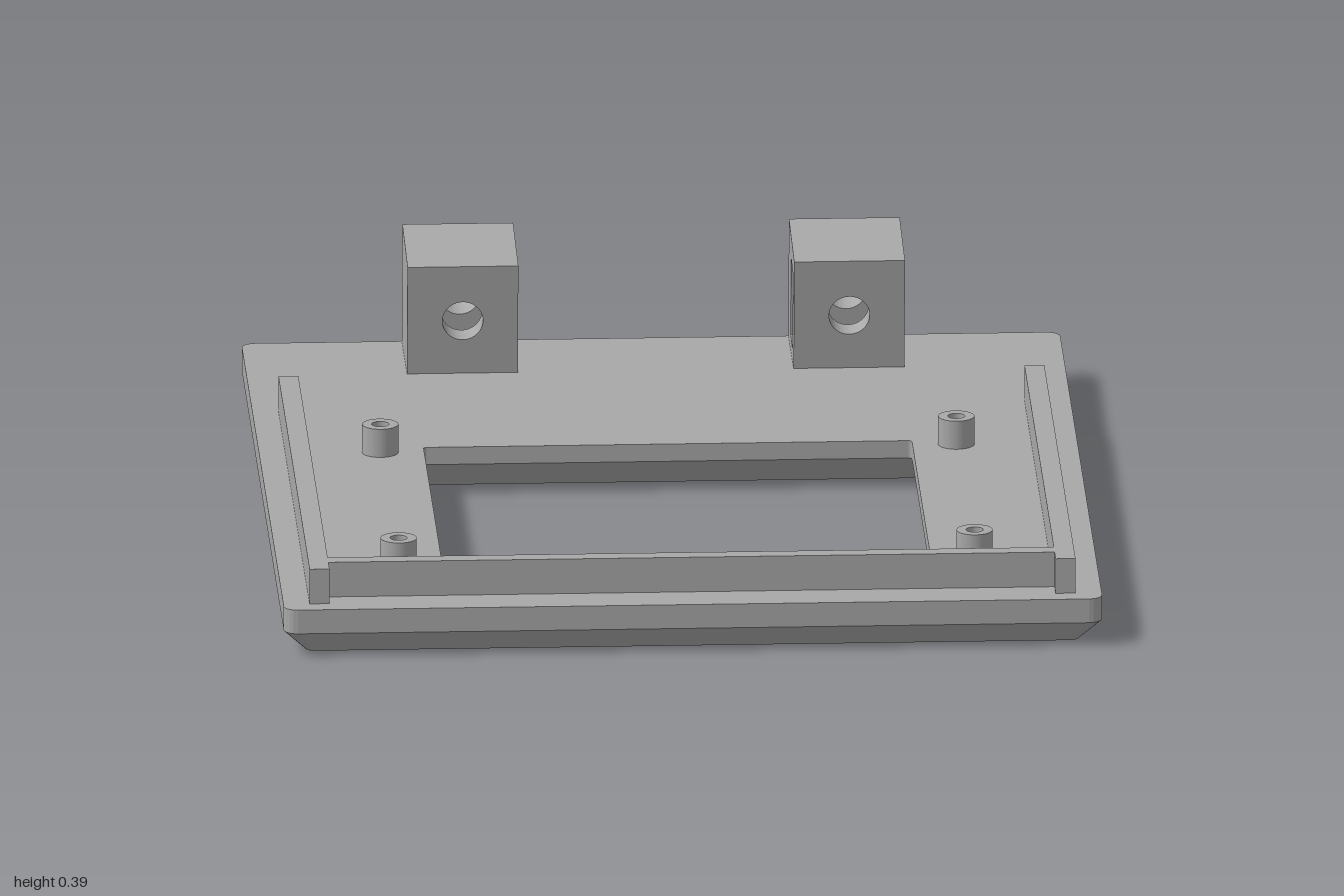
import * as THREE from 'three';
import { mergeGeometries } from 'three/addons/utils/BufferGeometryUtils.js';

const grey = new THREE.MeshStandardMaterial({ color: 0xa8a8a8 });
grey.name = 'grey plastic';

function add(parent, name, geometry) {
  const mesh = new THREE.Mesh(geometry, grey);
  mesh.name = name;
  parent.add(mesh);
  return mesh;
}

function box(parent, name, x0, x1, y0, y1, z0, z1) {
  const mesh = add(parent, name, new THREE.BoxGeometry(x1 - x0, y1 - y0, z1 - z0));
  mesh.position.set((x0 + x1) / 2, (y0 + y1) / 2, (z0 + z1) / 2);
}

// Rounded rectangle as [x, z] points, counter-clockwise seen from above
function loop(x0, x1, z0, z1, r) {
  const pts = [];
  const centres = [[x1 - r, z0 + r], [x0 + r, z0 + r], [x0 + r, z1 - r], [x1 - r, z1 - r]];
  centres.forEach(([cx, cz], q) => {
    for (let i = 0; i <= 5; i++) {
      const a = (q + i / 5) * Math.PI / 2;
      pts.push([cx + r * Math.cos(a), cz - r * Math.sin(a)]);
    }
  });
  return pts;
}

// Wall between two matching loops; inward walls face the centre
function wall(low, yLow, high, yHigh, inward) {
  const pos = [];
  for (let i = 0; i < low.length; i++) {
    const j = (i + 1) % low.length;
    const [m, n] = inward ? [j, i] : [i, j];
    const a = [low[m][0], yLow, low[m][1]], b = [low[n][0], yLow, low[n][1]];
    const c = [high[n][0], yHigh, high[n][1]], d = [high[m][0], yHigh, high[m][1]];
    pos.push(...a, ...b, ...c, ...a, ...c, ...d);
  }
  const g = new THREE.BufferGeometry();
  g.setAttribute('position', new THREE.Float32BufferAttribute(pos, 3));
  g.computeVertexNormals();
  return g;
}

// Flat face with holes, facing up or down
function cap(outer, holes, y, up) {
  const toPts = l => l.map(([x, z]) => new THREE.Vector2(x, up ? -z : z));
  const shape = new THREE.Shape(toPts(outer));
  holes.forEach(h => shape.holes.push(new THREE.Path(toPts(h))));
  const g = new THREE.ShapeGeometry(shape).toNonIndexed();
  g.deleteAttribute('uv');
  return g.rotateX(up ? -Math.PI / 2 : Math.PI / 2).translate(0, y, 0);
}

function rectShape(x0, x1, y0, y1) {
  return new THREE.Shape([[x0, y0], [x1, y0], [x1, y1], [x0, y1]].map(p => new THREE.Vector2(...p)));
}

function circle(x, y, r) {
  return new THREE.Path().absarc(x, y, r, 0, Math.PI * 2, true);
}

function extrude(shape, depth) {
  return new THREE.ExtrudeGeometry(shape, { depth, bevelEnabled: false, curveSegments: 28 });
}

// Hinge block: front and rear layers with bores, middle layer with a side pocket
function hingeBlock(side) {
  const g = new THREE.Group();
  g.name = side > 0 ? 'leftHingeBlock' : 'rightHingeBlock';
  const w = 0.1225, h = 0.305;

  const rear = rectShape(-w, w, 0, h);
  rear.holes.push(circle(0, 0.175, 0.045), circle(0, 0.055, 0.036));
  add(g, 'blockRear', extrude(rear, 0.1));

  // Pocket opens towards the centre of the model
  const inner = -side * w, deep = side * 0.065;
  const middle = new THREE.Shape([
    [inner, 0], [-inner, 0], [-inner, h], [inner, h],
    [inner, 0.255], [deep, 0.255], [deep, 0.07], [inner, 0.07],
  ].map(p => new THREE.Vector2(...p)));
  add(g, 'blockPocket', extrude(middle, 0.09)).position.z = 0.1;

  const front = rectShape(-w, w, 0, h);
  front.holes.push(circle(0, 0.175, 0.045));
  add(g, 'blockFront', extrude(front, 0.055)).position.z = 0.19;

  g.position.set(side * 0.4275, 0.085, -0.999);
  g.rotation.x = 0.1;
  return g;
}

export function createModel() {
  const model = new THREE.Group();
  model.name = 'displayBezel';

  // Bezel plate with chamfered lower rim, bevelled window and underside recesses
  const rim = loop(-0.905, 0.905, -0.995, 1, 0.03);
  const foot = loop(-0.855, 0.855, -0.945, 0.95, 0.02);
  const opening = loop(-0.54, 0.54, -0.2, 0.7, 0.008);
  const flare = loop(-0.615, 0.615, -0.275, 0.775, 0.008);
  const recesses = [
    loop(-0.08, 0.65, -0.575, -0.53, 0.01),
    loop(-0.65, -0.56, -0.835, -0.785, 0.005),
  ];
  const top = 0.11, mid = 0.055, bevel = 0.07, recessTop = 0.03;
  const faces = [
    cap(rim, [opening], top, true),
    cap(foot, [flare, ...recesses], 0, false),
    wall(foot, 0, rim, mid, false),
    wall(rim, mid, rim, top, false),
    wall(flare, 0, opening, bevel, true),
    wall(opening, bevel, opening, top, true),
  ];
  for (const r of recesses) {
    faces.push(wall(r, 0, r, recessTop, true), cap(r, [], recessTop, false));
  }
  add(model, 'bezelPlate', mergeGeometries(faces));

  // Raised rails along the sides and front
  const railTop = 0.19;
  box(model, 'leftRail', 0.803, 0.847, top, railTop, -0.49, 0.955);
  box(model, 'rightRail', -0.847, -0.803, top, railTop, -0.49, 0.955);
  box(model, 'frontRail', -0.803, 0.803, top, railTop, 0.868, 0.905);

  // Screw standoffs around the window
  const ring = new THREE.Shape().absarc(0, 0, 0.04, 0, Math.PI * 2, false);
  ring.holes.push(circle(0, 0, 0.019));
  const standoff = extrude(ring, 0.065).rotateX(-Math.PI / 2);
  for (const x of [-0.637, 0.637]) {
    for (const z of [-0.17, 0.68]) add(model, 'standoff', standoff).position.set(x, top, z);
  }

  // Tilted hinge blocks at the back edge
  for (const side of [-1, 1]) model.add(hingeBlock(side));

  return model;
}
